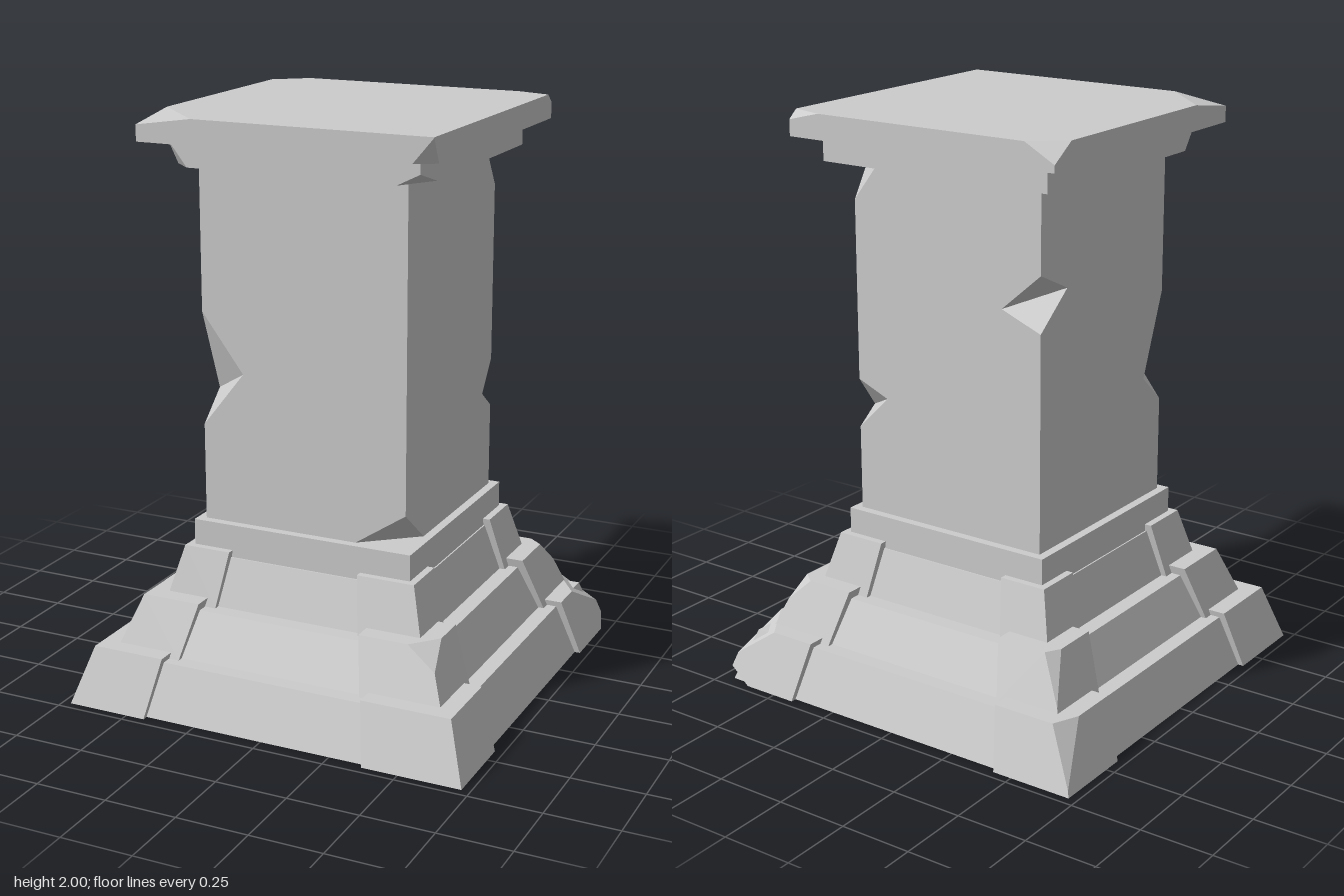
import * as THREE from 'three';
import { ConvexGeometry } from 'three/addons/geometries/ConvexGeometry.js';
import { mergeGeometries } from 'three/addons/utils/BufferGeometryUtils.js';

const stone = new THREE.MeshStandardMaterial({ color: 0xcccccc, flatShading: true });
const stoneTwoSided = new THREE.MeshStandardMaterial({ color: 0xcccccc, flatShading: true, side: THREE.DoubleSide });

function addMesh(parent, name, geometry, material = stone) {
  const mesh = new THREE.Mesh(geometry, material);
  mesh.name = name;
  parent.add(mesh);
}

// Tapered block. low/high give x and z ranges [x0, x1, z0, z1].
// A chip { x, y, z, cut: [dx, dy, dz] } slices the corner with indices x, y, z (0 or 1).
function chippedBlock(low, high, y0, y1, chips = []) {
  const corner = (i, j, k) => {
    const r = j ? high : low;
    return new THREE.Vector3(r[i], j ? y1 : y0, r[2 + k]);
  };
  const points = [];
  for (const i of [0, 1]) for (const j of [0, 1]) for (const k of [0, 1]) {
    const p = corner(i, j, k);
    const chip = chips.find(c => c.x === i && c.y === j && c.z === k);
    if (!chip) { points.push(p); continue; }
    const [dx, dy, dz] = chip.cut;
    const nx = corner(1 - i, j, k), ny = corner(i, 1 - j, k), nz = corner(i, j, 1 - k);
    points.push(p.clone().lerp(nx, dx / Math.abs(nx.x - p.x)));
    points.push(p.clone().lerp(ny, dy / (y1 - y0)));
    points.push(p.clone().lerp(nz, dz / Math.abs(nz.z - p.z)));
  }
  return new ConvexGeometry(points);
}

const square = h => [-h, h, -h, h];

// Square shaft with wedges broken out of its edges.
// Each chip: b / a = lower / upper end on the edge, left / right = [distance, y] on the two faces.
function shaftGeometry(h, bottom, top, chips) {
  const edge = (c, side) => {
    const list = chips[c % 4], pts = [];
    if (list[0].b !== undefined) pts.push([0, bottom]);
    for (const chip of list) {
      if (chip.b !== undefined) pts.push([0, chip.b]);
      pts.push(chip[side]);
      if (chip.a !== undefined) pts.push([0, chip.a]);
    }
    if (list[list.length - 1].a !== undefined) pts.push([0, top]);
    return pts;
  };
  const parts = [];
  for (let f = 0; f < 4; f++) {
    const outline = [
      ...edge(f + 1, 'left').map(([d, y]) => new THREE.Vector2(h - d, y)),
      ...edge(f, 'right').reverse().map(([d, y]) => new THREE.Vector2(-h + d, y)),
    ];
    const face = new THREE.ShapeGeometry(new THREE.Shape(outline)).toNonIndexed();
    face.deleteAttribute('uv');
    face.deleteAttribute('normal');
    parts.push(face.translate(0, 0, h).rotateY(f * Math.PI / 2));

    // broken surfaces of the chips on this edge
    const tris = [];
    for (const { a, b, left, right } of chips[f]) {
      const L = [-h, left[1], h - left[0]], R = [-h + right[0], right[1], h];
      if (a !== undefined) tris.push(...L, ...R, -h, a, h);
      if (b !== undefined) tris.push(...L, -h, b, h, ...R);
    }
    const cut = new THREE.BufferGeometry();
    cut.setAttribute('position', new THREE.Float32BufferAttribute(tris, 3));
    parts.push(cut.rotateY(f * Math.PI / 2));
  }
  const geometry = mergeGeometries(parts);
  geometry.computeVertexNormals();
  return geometry;
}

export function createModel() {
  const model = new THREE.Group();
  model.name = 'pedestal';

  // Stepped base core, visible as recessed panels between the corner stones
  const base = new THREE.Group();
  base.name = 'base';
  model.add(base);
  [[0.70, 0.635, 0, 0.18], [0.58, 0.51, 0.18, 0.335], [0.455, 0.405, 0.335, 0.5]].forEach(([h0, h1, y0, y1], i) =>
    addMesh(base, `panelTier${i + 1}`, chippedBlock(square(h0), square(h1), y0, y1)));
  addMesh(base, 'plinth', chippedBlock(square(0.4), square(0.4), 0.5, 0.615));

  // Raised corner stones: kx, kz are the inner edges as a share of the tier's half width
  const tiers = [[0.72, 0.655, 0, 0.2], [0.6, 0.53, 0.18, 0.365], [0.475, 0.425, 0.335, 0.525]];
  const corners = [
    { name: 'frontLeft', sx: 1, sz: 1, kx: 0.52, kz: 0.6, cuts: { 1: [[1, [0.08, 0.07, 0.09]]] } },
    { name: 'frontRight', sx: -1, sz: 1, kx: 0.6, kz: 0.57, cuts: {} },
    { name: 'backLeft', sx: 1, sz: -1, kx: 0.58, kz: 0.58,
      cuts: { 0: [[1, [0.11, 0.1, 0.16]], [0, [0.1, 0.05, 0.06]]], 1: [[1, [0.05, 0.075, 0.04]]] } },
    { name: 'backRight', sx: -1, sz: -1, kx: 0.6, kz: 0.6,
      cuts: { 0: [[1, [0.04, 0.18, 0.09]]], 1: [[1, [0.03, 0.15, 0.05]]] } },
  ];
  for (const { name, sx, sz, kx, kz, cuts } of corners) {
    tiers.forEach(([h0, h1, y0, y1], i) => {
      const range = h => [sx * kx * h, sx * h, sz * kz * h, sz * h];
      const chips = (cuts[i] || []).map(([y, cut]) => ({ x: 1, y, z: 1, cut }));
      addMesh(base, `${name}CornerStone${i + 1}`, chippedBlock(range(h0), range(h1), y0, y1, chips));
    });
  }

  // Shaft, edges in order: front -x, front +x, back +x, back -x
  addMesh(model, 'shaft', shaftGeometry(0.37, 0.615, 1.83, [
    [{ b: 0.95, a: 1.34, left: [0.11, 1.05], right: [0.15, 1.14] }],
    [{ a: 0.735, left: [0.18, 0.615], right: [0.15, 0.615] }],
    [{ b: 0.91, a: 1.08, left: [0.08, 0.97], right: [0.12, 1.03] },
      { b: 1.7, left: [0.08, 1.83], right: [0.1, 1.83] }],
    [{ b: 1.36, a: 1.55, left: [0.15, 1.42], right: [0.15, 1.48] }],
  ]), stoneTwoSided);

  // Two-step cap with chipped corners
  addMesh(model, 'capLower', chippedBlock(square(0.44), square(0.44), 1.83, 1.915, [
    { x: 0, y: 0, z: 1, cut: [0.065, 0.083, 0.06] },
    { x: 1, y: 0, z: 1, cut: [0.08, 0.04, 0.13] },
  ]));
  addMesh(model, 'capUpper', chippedBlock(square(0.515), square(0.515), 1.915, 2, [
    { x: 0, y: 1, z: 1, cut: [0.2, 0.03, 0.2] },
    { x: 1, y: 0, z: 1, cut: [0.07, 0.083, 0.04] },
    { x: 1, y: 1, z: 0, cut: [0.12, 0.03, 0.035] },
    { x: 0, y: 1, z: 0, cut: [0.11, 0.06, 0.09] },
  ]));
  return model;
}
